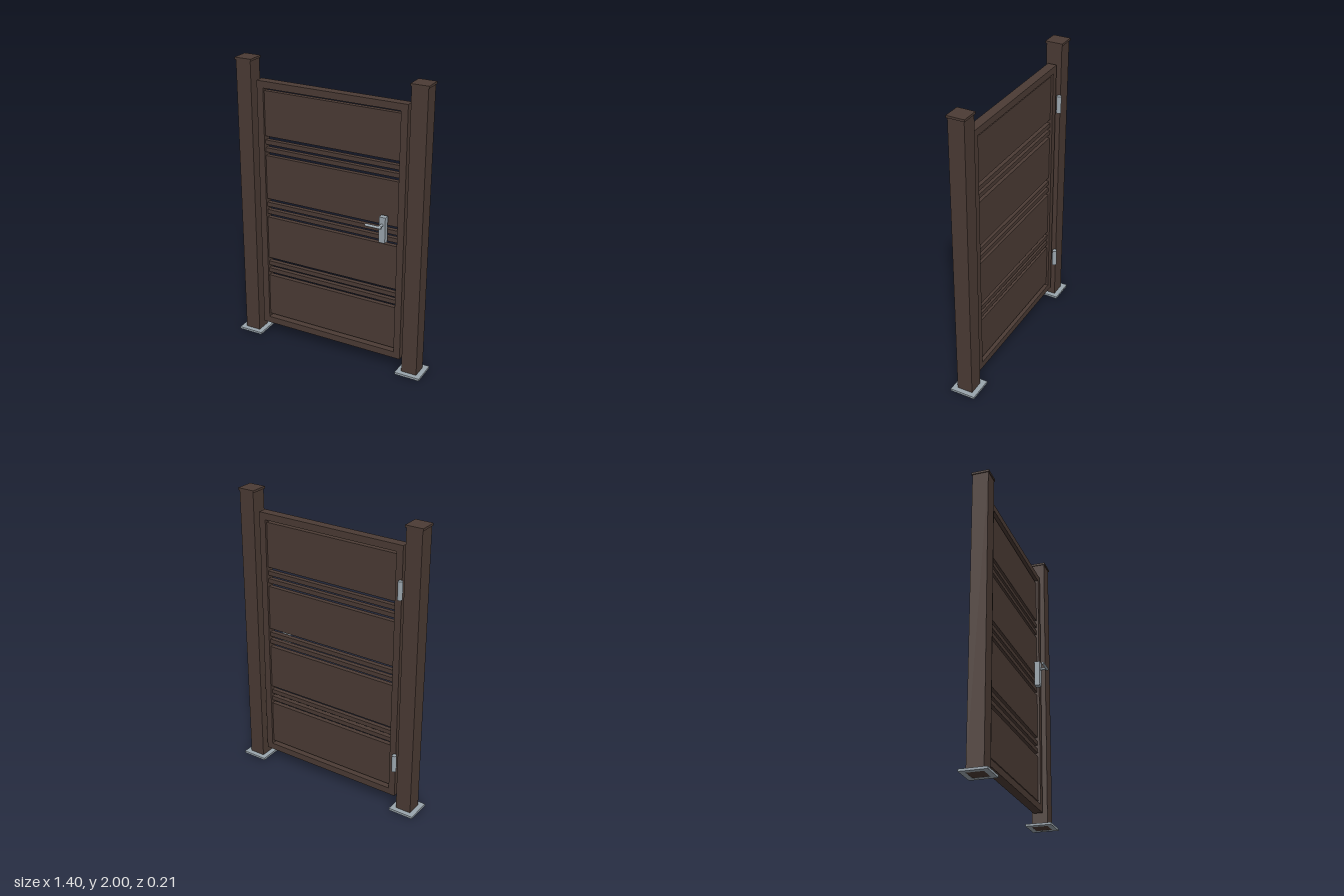
import * as THREE from 'three';

export function createModel() {
  const brown = new THREE.MeshStandardMaterial({ name: 'darkBrown', color: 0x4b3b34 });
  const steel = new THREE.MeshStandardMaterial({ name: 'steelGrey', color: 0x9aa5ad });

  const model = new THREE.Group();
  model.name = 'gardenGate';

  const add = (parent, name, geometry, material, x, y, z) => {
    const mesh = new THREE.Mesh(geometry, material);
    mesh.name = name;
    mesh.position.set(x, y, z);
    parent.add(mesh);
    return mesh;
  };
  // Box given by its centre x and z and its bottom and top heights
  const bar = (parent, name, material, x, z, w, d, y0, y1) =>
    add(parent, name, new THREE.BoxGeometry(w, y1 - y0, d), material, x, (y0 + y1) / 2, z);

  // Square ring that surrounds the foot of a post
  const ring = new THREE.Shape();
  const square = (path, h) => path.moveTo(-h, -h).lineTo(h, -h).lineTo(h, h).lineTo(-h, h).closePath();
  square(ring, 0.088);
  ring.holes.push(square(new THREE.Path(), 0.054));
  const footGeometry = new THREE.ExtrudeGeometry(ring, { depth: 0.015, bevelEnabled: false });
  footGeometry.rotateX(-Math.PI / 2);

  // Posts with caps and foot plates
  const postZ = -0.016;
  for (const [side, s] of [['left', 1], ['right', -1]]) {
    const post = new THREE.Group();
    post.name = side + 'Post';
    bar(post, 'postShaft', brown, s * 0.612, postZ, 0.108, 0.108, 0.001, 1.986);
    bar(post, 'postCap', brown, s * 0.612, postZ, 0.12, 0.12, 1.985, 2);
    add(post, 'footPlate', footGeometry, steel, s * 0.612, 0, postZ);
    model.add(post);
  }

  // Gate leaf: frame, panels and slats
  const leaf = new THREE.Group();
  leaf.name = 'gateLeaf';
  model.add(leaf);
  const leafZ = -0.018;
  for (const s of [1, -1]) {
    bar(leaf, s > 0 ? 'leftStile' : 'rightStile', brown, s * 0.508, leafZ, 0.046, 0.062, 0.084, 1.86);
  }
  bar(leaf, 'topRail', brown, 0, leafZ, 0.97, 0.062, 1.814, 1.86);
  bar(leaf, 'bottomRail', brown, 0, leafZ, 0.97, 0.062, 0.084, 0.13);
  for (let i = 0; i < 4; i++) {
    const y = 0.151 + i * 0.445;
    bar(leaf, 'panel', brown, 0, leafZ, 0.97, 0.032, y, y + 0.308);
    if (i === 3) continue;
    for (const gap of [0.334, 0.388]) {
      bar(leaf, 'slat', brown, 0, leafZ, 0.97, 0.032, y + gap, y + gap + 0.03);
    }
  }

  // Hinges behind the right stile
  for (const y of [0.36, 1.585]) {
    add(model, 'hinge', new THREE.CylinderGeometry(0.016, 0.016, 0.12, 20), steel, -0.533, y, -0.072);
  }

  // Handle with lock plate, stem and lever
  const handle = new THREE.Group();
  handle.name = 'handle';
  model.add(handle);
  bar(handle, 'lockPlate', steel, 0.396, 0.032, 0.044, 0.038, 0.935, 1.112);
  add(handle, 'stem', new THREE.CylinderGeometry(0.009, 0.009, 0.046, 16), steel, 0.396, 1.06, 0.073)
    .rotation.x = Math.PI / 2;
  add(handle, 'lever', new THREE.CylinderGeometry(0.009, 0.009, 0.112, 16), steel, 0.356, 1.06, 0.095)
    .rotation.z = Math.PI / 2;

  return model;
}
